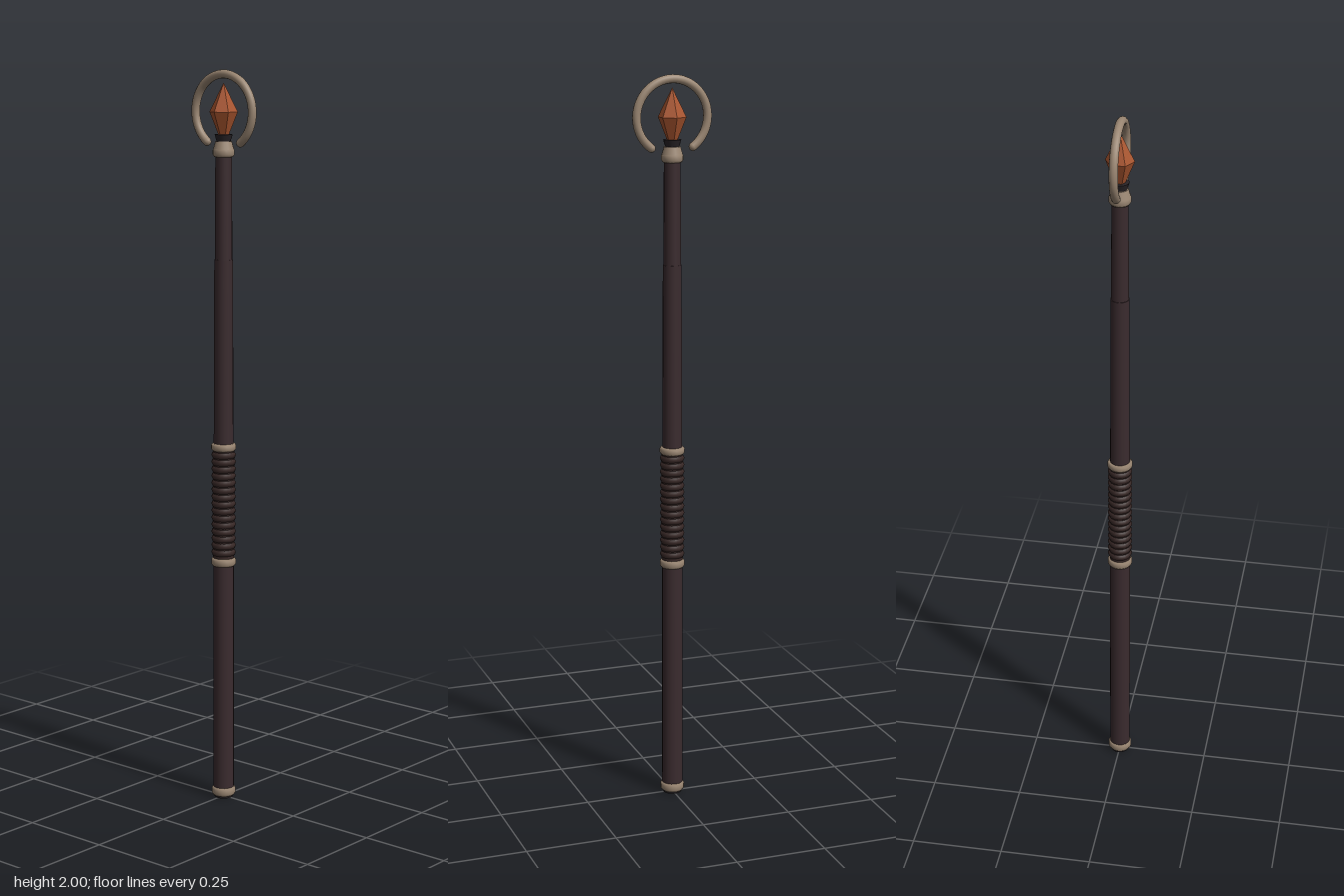
import * as THREE from 'three';

const material = (name, color) => {
  const m = new THREE.MeshStandardMaterial({ color });
  m.name = name;
  return m;
};

export function createModel() {
  const wood = material('dark wood', 0x3a2b2e);
  const leather = material('leather', 0x382826);
  const metal = material('pale bronze', 0x9a8672);
  const crystal = material('amber crystal', 0xa8552f);
  const iron = material('dark iron', 0x282326);

  const staff = new THREE.Group();
  staff.name = 'staff';

  const add = (name, geometry, mat, y = 0) => {
    const mesh = new THREE.Mesh(geometry, mat);
    mesh.name = name;
    mesh.position.y = y;
    staff.add(mesh);
    return mesh;
  };

  // Vertical tapered section from y0 to y1
  const section = (name, r0, r1, y0, y1, mat, sides = 16) =>
    add(name, new THREE.CylinderGeometry(r1, r0, y1 - y0, sides), mat, (y0 + y1) / 2);

  // Rounded collar with bevelled rims
  const collar = (name, r, y0, y1) => {
    const b = (y1 - y0) * 0.25;
    const profile = [[0, y0], [r - 0.004, y0], [r, y0 + b], [r, y1 - b], [r - 0.004, y1], [0, y1]]
      .map(([x, y]) => new THREE.Vector2(x, y));
    return add(name, new THREE.LatheGeometry(profile, 20), metal);
  };

  // Shaft, slimmer towards the head
  section('lowerShaft', 0.029, 0.028, 0.01, 0.68, wood);
  section('middleShaft', 0.027, 0.025, 0.98, 1.5, wood);
  section('upperShaft', 0.0235, 0.022, 1.5, 1.79, wood);

  // Foot
  section('footPlug', 0.026, 0.028, 0, 0.012, iron);
  collar('footCollar', 0.033, 0.006, 0.03);

  // Wrapped grip between two collars
  section('gripCore', 0.029, 0.029, 0.67, 0.99, leather);
  const wraps = 15;
  for (let i = 0; i < wraps; i++) {
    const wrap = add('gripWrap', new THREE.TorusGeometry(0.023, 0.0105, 8, 20), leather,
      0.69 + (i + 0.5) * 0.29 / wraps);
    wrap.rotation.x = Math.PI / 2;
  }
  collar('gripLowerCollar', 0.034, 0.662, 0.684);
  collar('gripUpperCollar', 0.034, 0.982, 1.002);

  // Head socket
  collar('headCollar', 0.029, 1.772, 1.796);
  section('headSocket', 0.028, 0.022, 1.792, 1.813, metal);
  section('crystalSeat', 0.018, 0.024, 1.811, 1.831, iron);

  // Six-sided crystal: two flat-shaded cones
  const facet = (name, r0, r1, y0, y1) => {
    const mesh = section(name, r0, r1, y0, y1, crystal, 6);
    mesh.geometry = mesh.geometry.toNonIndexed();
    mesh.geometry.computeVertexNormals();
  };
  facet('crystalBase', 0.012, 0.038, 1.825, 1.89);
  facet('crystalTip', 0.038, 0, 1.89, 1.966);

  // Open ring around the crystal with its gap at the bottom
  const R = 0.0985, tube = 0.0115, centreY = 1.89;
  const start = -54 * Math.PI / 180, arc = 288 * Math.PI / 180;
  const ring = add('headRing', new THREE.TorusGeometry(R, tube, 12, 48, arc), metal, centreY);
  ring.rotation.z = start;
  for (const a of [start, start + arc]) {
    const end = add('ringEnd', new THREE.SphereGeometry(tube, 12, 8), metal);
    end.position.set(R * Math.cos(a), centreY + R * Math.sin(a), 0);
  }

  return staff;
}
